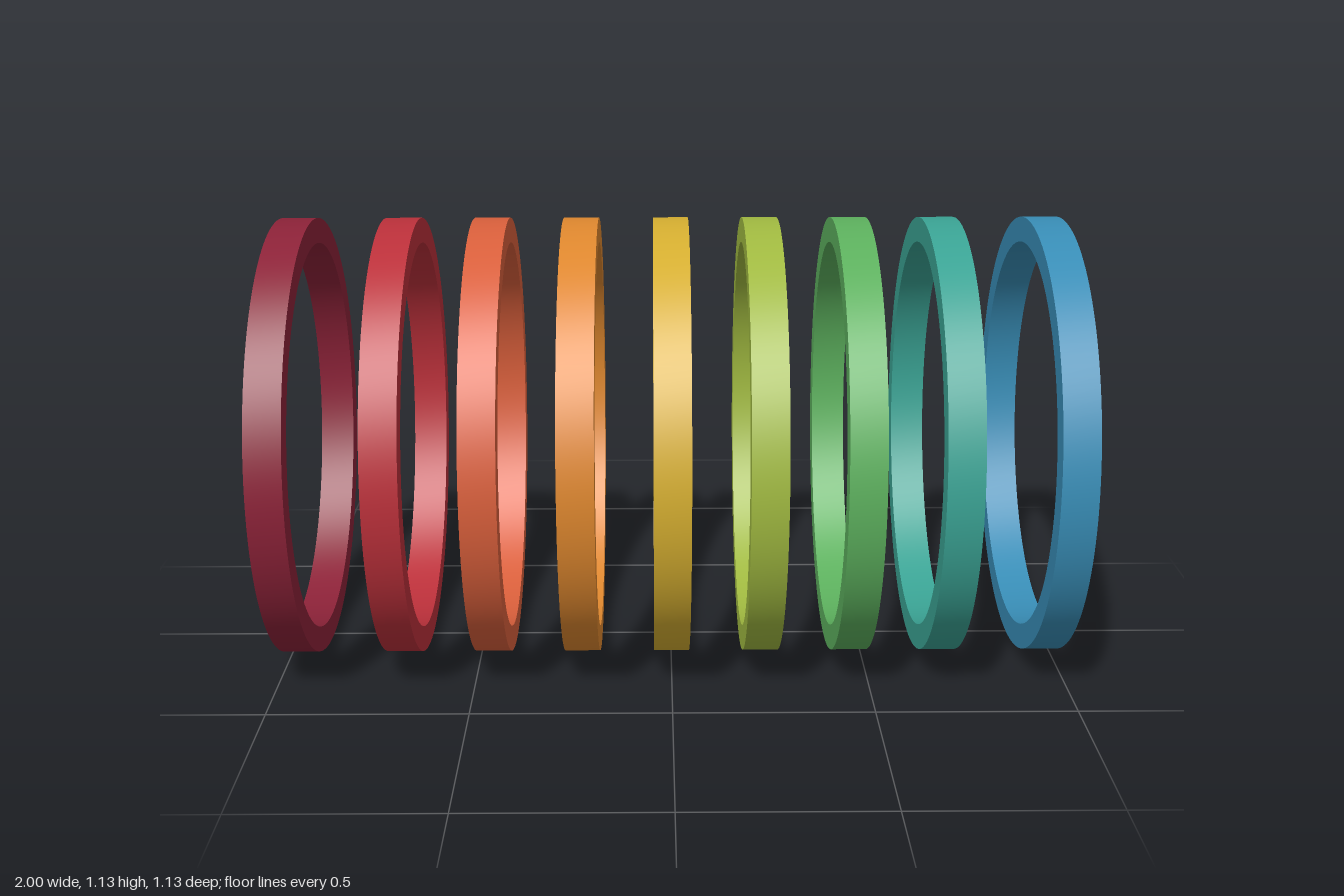
import * as THREE from 'three';
import { toCreasedNormals } from 'three/addons/utils/BufferGeometryUtils.js';

const OUTER = 0.564, INNER = 0.5, HALF_WIDTH = 0.045;

// Name, colour and x position of each ring, from the right end to the left end
const RINGS = [
  ['crimson', 0x8c2238, -0.955],
  ['red', 0xbb303a, -0.687],
  ['vermilion', 0xd95f3b, -0.458],
  ['orange', 0xde872e, -0.229],
  ['yellow', 0xd5ae30, 0],
  ['lime', 0xa0b940, 0.229],
  ['green', 0x5cb05d, 0.458],
  ['teal', 0x3aa394, 0.687],
  ['blue', 0x388db6, 0.955],
];

// Flat band with a rectangular cross-section, its axis along x
function ringGeometry() {
  const profile = [
    [INNER, -HALF_WIDTH], [OUTER, -HALF_WIDTH],
    [OUTER, HALF_WIDTH], [INNER, HALF_WIDTH], [INNER, -HALF_WIDTH],
  ].map(([r, y]) => new THREE.Vector2(r, y));
  const band = new THREE.LatheGeometry(profile, 128);
  band.rotateZ(-Math.PI / 2);
  return toCreasedNormals(band, 0.6);
}

export function createModel() {
  const model = new THREE.Group();
  model.name = 'ringRow';
  const geometry = ringGeometry();
  for (const [name, color, x] of RINGS) {
    const material = new THREE.MeshStandardMaterial({ color });
    material.name = name;
    const ring = new THREE.Mesh(geometry, material);
    ring.name = `${name}Ring`;
    ring.position.set(x, OUTER, 0);
    model.add(ring);
  }
  return model;
}
